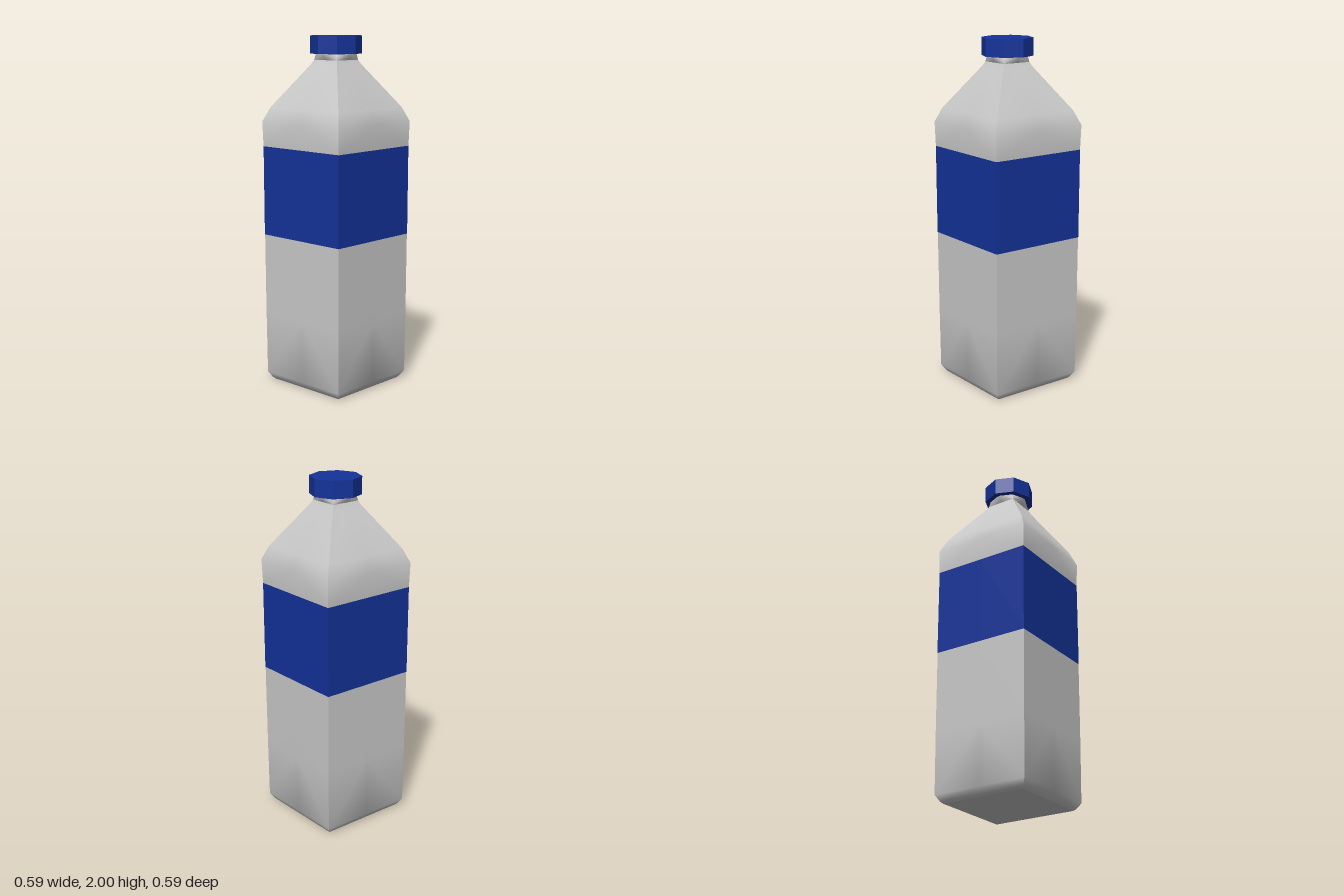
import * as THREE from 'three';
import { toCreasedNormals } from 'three/addons/utils/BufferGeometryUtils.js';

const grey = new THREE.MeshStandardMaterial({ color: 0xcccccc, side: THREE.DoubleSide });
const blue = new THREE.MeshStandardMaterial({ color: 0x14339b, side: THREE.DoubleSide });

// Eight points around the axis: a square of half width w, or an octagon of radius w
function ring([y, w, octagon]) {
  return Array.from({ length: 8 }, (_, k) => {
    const a = k * Math.PI / 4;
    const r = k % 2 && !octagon ? w * Math.SQRT2 : w;
    return [r * Math.sin(a), y, r * Math.cos(a)];
  });
}

// Joins the rings of a profile, listed from bottom to top, into a wall
function wall(name, profile, material) {
  const rings = profile.map(ring);
  const pos = [];
  for (let i = 0; i < rings.length - 1; i++) {
    for (let k = 0; k < 8; k++) {
      const n = (k + 1) % 8;
      const a = rings[i][k], b = rings[i][n], c = rings[i + 1][n], d = rings[i + 1][k];
      // mirror the diagonal so both halves of a side match
      if (k % 2) pos.push(...a, ...b, ...c, ...a, ...c, ...d);
      else pos.push(...a, ...b, ...d, ...b, ...c, ...d);
    }
  }
  const geo = new THREE.BufferGeometry();
  geo.setAttribute('position', new THREE.Float32BufferAttribute(pos, 3));
  const mesh = new THREE.Mesh(toCreasedNormals(geo, 0.9), material);
  mesh.name = name;
  return mesh;
}

export function createModel() {
  const bottle = new THREE.Group();
  bottle.name = 'bottle';

  // Square body with a rounded foot, wrapped by a label band
  bottle.add(
    wall('lowerBody', [[0, 0.25], [0.01, 0.262], [0.045, 0.284], [0.4, 0.287], [0.87, 0.289]], grey),
    wall('label', [[0.87, 0.29], [1.38, 0.291]], blue),
    // Shoulder tapering to the neck
    wall('shoulder', [[1.38, 0.291], [1.52, 0.295], [1.6, 0.262], [1.84, 0.1], [1.865, 0.087]], grey),
    // Neck turning from square to octagonal under the cap
    wall('neck', [[1.865, 0.087], [1.905, 0.112, true]], grey),
  );

  // Flat base
  const base = new THREE.Mesh(new THREE.PlaneGeometry(0.5, 0.5), grey);
  base.name = 'base';
  base.rotation.x = Math.PI / 2;
  bottle.add(base);

  // Eight-sided screw cap
  const capGeo = new THREE.CylinderGeometry(0.145, 0.145, 0.1, 8).toNonIndexed();
  capGeo.computeVertexNormals();
  const cap = new THREE.Mesh(capGeo, blue);
  cap.name = 'cap';
  cap.position.y = 1.95;
  bottle.add(cap);

  return bottle;
}
